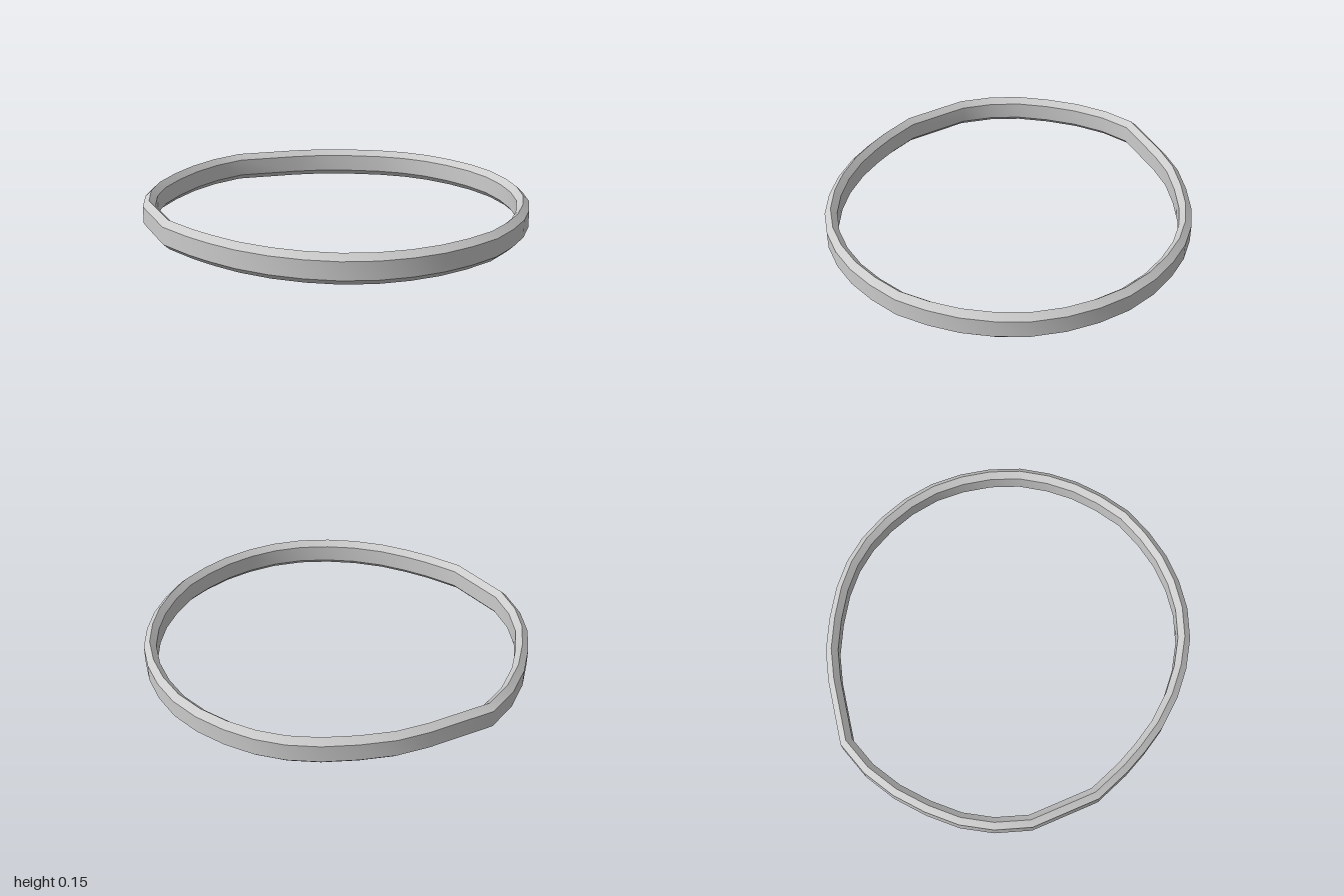
import * as THREE from 'three';

// Outer outline of the band seen from above (x, z), starting at the back and running towards +x
const outline = [
  [0, -1], [0.19, -0.98], [0.48, -0.79], [0.61, -0.685], [0.725, -0.55], [0.825, -0.405],
  [0.895, -0.26], [0.935, -0.11], [0.947, 0.05], [0.935, 0.215], [0.893, 0.38], [0.82, 0.53],
  [0.725, 0.665], [0.605, 0.785], [0.465, 0.875], [0.32, 0.94], [0.165, 0.98], [0, 1],
  [-0.165, 0.98], [-0.32, 0.94], [-0.465, 0.875], [-0.6, 0.785], [-0.72, 0.665], [-0.812, 0.525],
  [-0.88, 0.375], [-0.927, 0.205], [-0.945, 0.05], [-0.95, -0.09], [-0.937, -0.29], [-0.795, -0.62],
  [-0.667, -0.76], [-0.525, -0.86], [-0.36, -0.93], [-0.185, -0.98],
].map(([x, z]) => new THREE.Vector2(x, z));

// Six-sided cross-section: [inset from the outline, height]
const section = [
  [0, 0.03], [0, 0.12], [0.032, 0.15], [0.063, 0.12], [0.063, 0.03], [0.032, 0],
];

// Mitred inward direction at each outline point
function inwardNormals(points) {
  const n = points.length;
  const edgeNormal = (i) => {
    const t = points[(i + 1) % n].clone().sub(points[i % n]).normalize();
    return new THREE.Vector2(-t.y, t.x);
  };
  return points.map((_, i) => {
    const a = edgeNormal(i + n - 1);
    const m = a.clone().add(edgeNormal(i)).normalize();
    return m.divideScalar(m.dot(a));
  });
}

// One closed strip between two section corners: smooth around, sharp along its borders
function stripGeometry(lower, upper, normals) {
  const n = outline.length;
  const positions = [];
  const index = [];
  outline.forEach((p, i) => {
    for (const [inset, y] of [lower, upper]) {
      positions.push(p.x + normals[i].x * inset, y, p.y + normals[i].y * inset);
    }
    const a = 2 * i;
    const d = 2 * ((i + 1) % n);
    index.push(a, a + 1, d + 1, a, d + 1, d);
  });
  const geometry = new THREE.BufferGeometry();
  geometry.setAttribute('position', new THREE.Float32BufferAttribute(positions, 3));
  geometry.setIndex(index);
  geometry.computeVertexNormals();
  return geometry;
}

export function createModel() {
  const model = new THREE.Group();
  model.name = 'ring';
  const material = new THREE.MeshStandardMaterial({ color: 0xcccccc });
  const normals = inwardNormals(outline);
  const names = ['outerWall', 'outerTopBevel', 'innerTopBevel', 'innerWall', 'innerBottomBevel', 'outerBottomBevel'];

  // Walls and bevels of the band
  names.forEach((name, k) => {
    const strip = stripGeometry(section[k], section[(k + 1) % section.length], normals);
    const mesh = new THREE.Mesh(strip, material);
    mesh.name = name;
    model.add(mesh);
  });
  return model;
}
